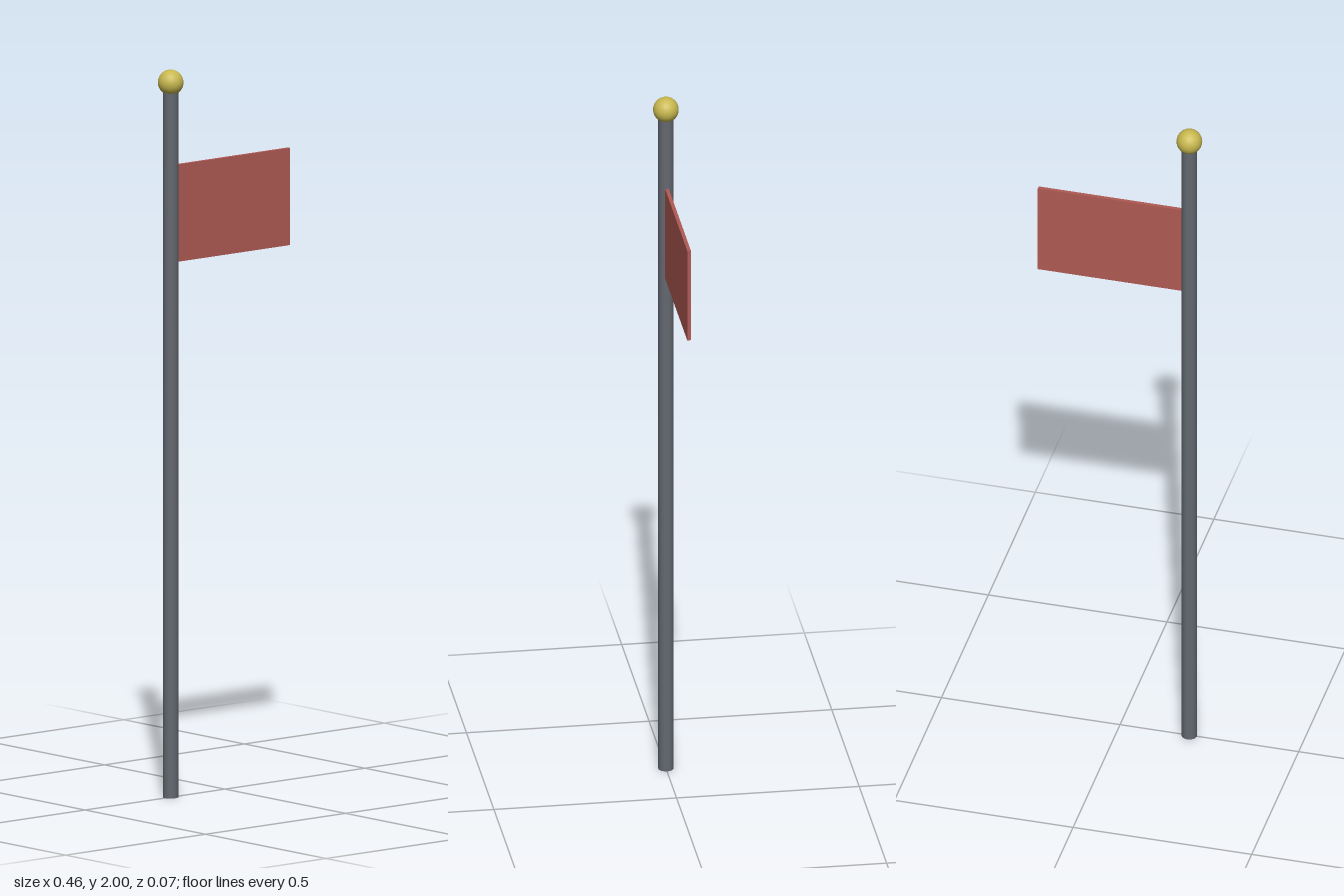
import * as THREE from 'three';

const POLE_X = -0.194;
const POLE_RADIUS = 0.021;
const POLE_HEIGHT = 1.95;
const BALL_RADIUS = 0.035;

function addPart(group, name, geometry, color, x, y) {
  const mesh = new THREE.Mesh(geometry, new THREE.MeshStandardMaterial({ color }));
  mesh.name = name;
  mesh.position.set(x, y, 0);
  group.add(mesh);
}

export function createModel() {
  const group = new THREE.Group();
  group.name = 'flagpole';

  // Upright pole, its top tucked inside the ball
  addPart(group, 'pole',
    new THREE.CylinderGeometry(POLE_RADIUS, POLE_RADIUS, POLE_HEIGHT, 24),
    0x636870, POLE_X, POLE_HEIGHT / 2);

  // Golden ball on the tip
  addPart(group, 'finialBall',
    new THREE.SphereGeometry(BALL_RADIUS, 24, 16),
    0xc8b850, POLE_X, 2 - BALL_RADIUS);

  // Thin rigid flag, its inner edge set just into the pole
  const inner = POLE_X + POLE_RADIUS - 0.005;
  const outer = 0.229;
  const bottom = 1.47;
  const top = 1.737;
  addPart(group, 'flag',
    new THREE.BoxGeometry(outer - inner, top - bottom, 0.01),
    0xb05a54, (inner + outer) / 2, (bottom + top) / 2);

  return group;
}
